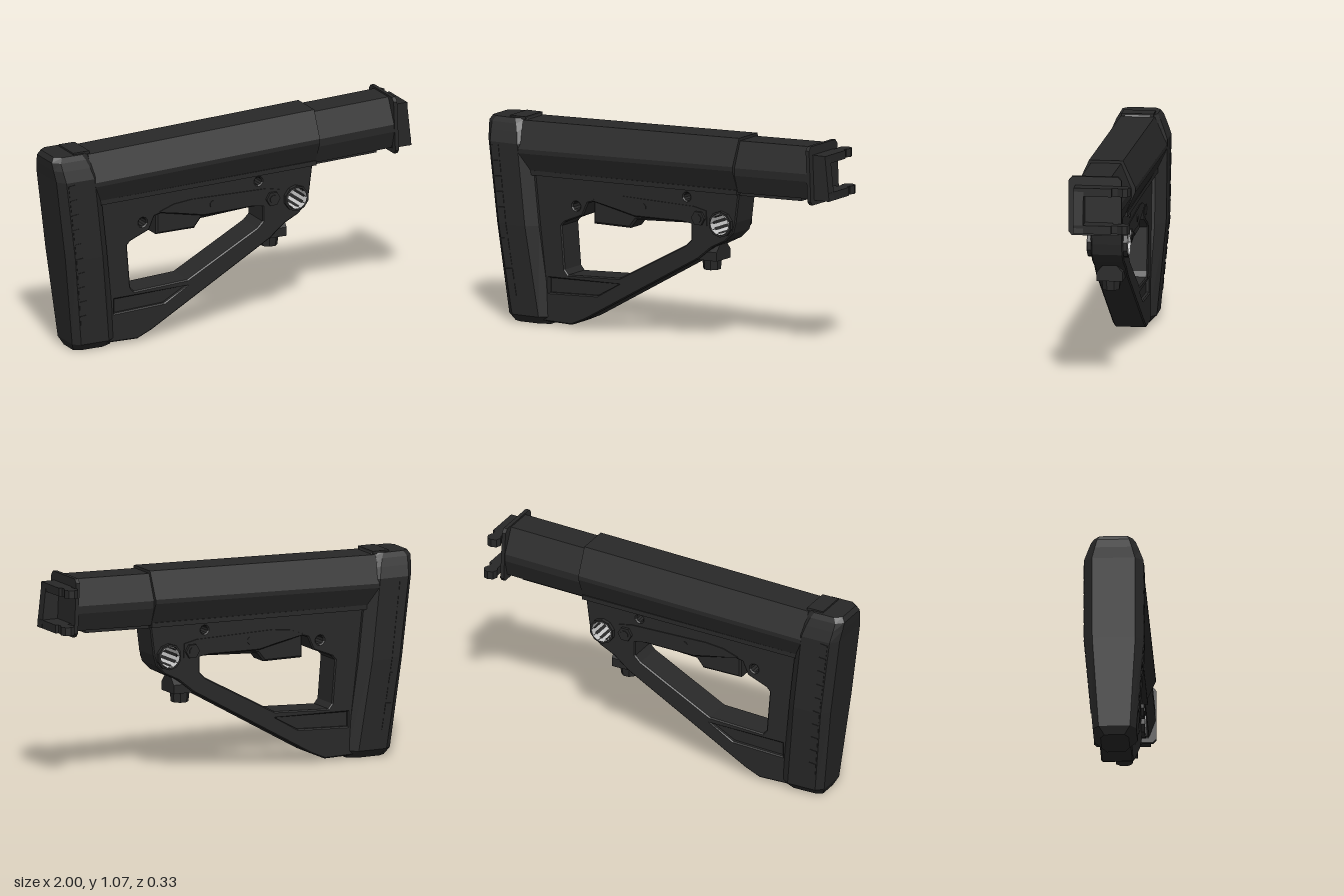
import * as THREE from 'three';

const black = new THREE.MeshStandardMaterial({ color: 0x282828 });
black.name = 'matte black';
const steel = new THREE.MeshStandardMaterial({ color: 0xc8c8c8, side: THREE.DoubleSide });
steel.name = 'bright steel';

// Faceted mesh added to a parent
function add(parent, name, geometry, material = black, x = 0, y = 0, z = 0) {
  const geo = geometry.index ? geometry.toNonIndexed() : geometry;
  geo.computeVertexNormals();
  const mesh = new THREE.Mesh(geo, material);
  mesh.name = name;
  mesh.position.set(x, y, z);
  parent.add(mesh);
  return mesh;
}

// Skin closed rings of [x, y, z] points, with end caps, always facing outwards
function loft(rings) {
  const tris = [];
  const n = rings[0].length;
  for (let r = 0; r < rings.length - 1; r++) {
    for (let i = 0; i < n; i++) {
      const j = (i + 1) % n;
      const [a, b, c, d] = [rings[r][i], rings[r][j], rings[r + 1][j], rings[r + 1][i]];
      tris.push([a, b, c], [a, c, d]);
    }
  }
  const last = rings[rings.length - 1];
  for (let i = 1; i < n - 1; i++) {
    tris.push([rings[0][0], rings[0][i + 1], rings[0][i]], [last[0], last[i], last[i + 1]]);
  }
  let volume = 0;
  const v = (p) => new THREE.Vector3(...p);
  for (const [a, b, c] of tris) volume += v(a).dot(v(b).cross(v(c)));
  if (volume < 0) tris.forEach((t) => t.reverse());
  const geo = new THREE.BufferGeometry();
  geo.setAttribute('position', new THREE.Float32BufferAttribute(tris.flat(2), 3));
  return geo;
}

// Section of half-profile [halfWidth, y] mirrored in z, at a given x
const section = (x, half, dy = 0, lean = 0) => [
  ...half.map(([w, y]) => [x + lean * y, y + dy, w]),
  ...half.slice().reverse().map(([w, y]) => [x + lean * y, y + dy, -w]),
];

const outline = (points) => points.map(([x, y]) => new THREE.Vector2(x, y));

const circlePoints = (x, y, r, n = 10) => Array.from({ length: n }, (_, i) => {
  const a = ((i + 0.5) / n) * Math.PI * 2;
  return [x + r * Math.cos(a), y + r * Math.sin(a)];
});
const circle = (x, y, r) => new THREE.Path(outline(circlePoints(x, y, r)));

// Side outline extruded evenly about z = 0
function slab(points, halfDepth, holes = [], bevel = 0) {
  const shape = new THREE.Shape(outline(points));
  shape.holes = holes;
  const geo = new THREE.ExtrudeGeometry(shape, {
    depth: 2 * (halfDepth - bevel), bevelEnabled: bevel > 0, bevelSize: bevel,
    bevelThickness: bevel, bevelOffset: -bevel, bevelSegments: 1,
  });
  return geo.translate(0, 0, bevel - halfDepth);
}

function cylinderZ(radius, halfDepth, sides, open = false) {
  return new THREE.CylinderGeometry(radius, radius, 2 * halfDepth, sides, 1, open)
    .rotateY(Math.PI / sides).rotateX(Math.PI / 2);
}

export function createModel() {
  const model = new THREE.Group();
  model.name = 'rearStock';
  model.position.z = 0.016;
  const root = new THREE.Group();
  root.add(model);

  // Butt pad: leaning back, tapered towards the toe
  const padRing = ([y, back, front, w]) => {
    const half = [[back, w * 0.72], [back + 0.035, w], [front - 0.05, w], [front, w * 0.65]];
    return [
      ...half.map(([x, z]) => [x, y, z]),
      ...half.slice().reverse().map(([x, z]) => [x, y, -z]),
    ];
  };
  add(model, 'buttPad', loft([
    [0, -0.865, -0.66, 0.07], [0.04, -0.885, -0.645, 0.108], [0.5, -0.938, -0.7, 0.148],
    [0.91, -0.988, -0.745, 0.148], [0.965, -0.996, -0.76, 0.127], [1.005, -1, -0.775, 0.11],
    [1.03, -0.985, -0.79, 0.095],
  ].map(padRing)));
  add(model, 'padTopRidge', new THREE.BoxGeometry(0.09, 0.014, 0.16), black, -0.835, 1.031);

  // Row of grip plates lying on both flanks of the pad
  for (let i = 0; i < 10; i++) {
    const y = 0.865 - i * 0.0775;
    const taper = y > 0.5 ? 0 : 0.087;
    for (const side of [1, -1]) {
      const grip = add(model, 'padGripPlate', new THREE.BoxGeometry(0.038, 0.06, 0.006),
        black, -0.92 + i * 0.0088, y, side * (0.148 - (0.5 - y) * taper));
      grip.rotation.set(side * taper, 0, 0.11);
    }
  }

  // Sleeve over the tube, rising gently to the front
  const sleeve = [[0.085, 0], [0.147, -0.135], [0.147, -0.157], [0.1, -0.265]];
  add(model, 'tubeSleeve', loft([section(-0.8, sleeve, 1.022), section(0.464, sleeve, 1.062)]));
  const ledge = [[0.108, 0.012], [0.108, -0.012]];
  add(model, 'sleeveLedge', loft([section(-0.76, ledge, 0.765), section(0.464, ledge, 0.79)]));

  // Inner tube with its underside rail and flush steel bolts
  const tube = [[0.075, 0], [0.128, -0.13], [0.128, -0.168], [0.095, -0.26]];
  add(model, 'innerTube', loft([section(0.4, tube, 1.046), section(0.9, tube, 1.062)]));
  add(model, 'tubeRail', loft([
    section(0.4, [[0.07, 0.82], [0.07, 0.768]]), section(0.82, [[0.07, 0.83], [0.07, 0.78]]),
  ]));
  for (const [x, y] of [[0.63, 0.778], [0.5, 0.774]]) {
    add(model, 'railBolt', new THREE.CylinderGeometry(0.04, 0.04, 0.016, 8), steel, x, y);
  }

  // End plate
  const plate = [[0.115, 1.07], [0.132, 1.05], [0.132, 0.795], [0.115, 0.775]];
  add(model, 'endPlate', loft([section(0.925, plate, 0, -0.04), section(0.945, plate, 0, -0.04)]));

  // Hinge bracket: one side wall and two arms with rounded knuckles
  const wall = slab([[0.89, 0.8], [1.0, 0.8], [0.975, 1.026], [0.89, 1.026]], 0.025);
  add(model, 'hingeWall', wall, black, 0, 0, 0.074);
  [[0.82, 0.997], [1.005, 0.977]].forEach(([y, end]) => {
    add(model, 'hingeArm', new THREE.BoxGeometry(end - 0.9, 0.042, 0.19), black, (end + 0.9) / 2, y, 0.004);
    add(model, 'hingeNeck', new THREE.BoxGeometry(0.05, 0.042, 0.09), black, end - 0.04, y, -0.125);
    add(model, 'hingeKnuckle', new THREE.CylinderGeometry(0.036, 0.036, 0.042, 8), black, end - 0.038, y, -0.145);
  });

  // Skeleton frame with the large opening, sling holes and side pocket
  const opening = new THREE.Path(outline([
    [-0.578, 0.51], [-0.56, 0.53], [-0.455, 0.573], [-0.425, 0.64], [-0.39, 0.65], [-0.15, 0.6],
    [0.18, 0.605], [0.18, 0.52], [0.15, 0.49], [-0.24, 0.28], [-0.54, 0.265], [-0.56, 0.29],
  ]));
  const pocket = new THREE.Path(outline([[-0.65, 0.24], [-0.24, 0.25], [-0.37, 0.178], [-0.65, 0.165]]));
  add(model, 'frame', slab([
    [-0.78, 0.8], [-0.78, 0.02], [-0.52, 0.015], [-0.44, 0.05], [0.22, 0.425], [0.3, 0.49],
    [0.38, 0.53], [0.425, 0.575], [0.44, 0.63], [0.462, 0.8],
  ], 0.08, [opening, pocket, circle(-0.492, 0.618, 0.022), circle(0.155, 0.733, 0.02), circle(0.36, 0.618, 0.054)], 0.006));
  add(model, 'pocketWeb', slab([[-0.68, 0.255], [-0.2, 0.262], [-0.36, 0.165], [-0.68, 0.155]], 0.06));

  // Latch housing hanging into the opening
  add(model, 'latchHousing', slab([
    [-0.405, 0.67], [-0.405, 0.535], [-0.19, 0.535], [-0.155, 0.58], [0.19, 0.6], [0.19, 0.67],
  ], 0.06, [], 0.01));

  // Raised side panel on both faces, with pivot screws
  add(model, 'sidePanel', slab([
    [-0.4, 0.66], [-0.32, 0.688], [-0.22, 0.698], [0.2, 0.69], [0.27, 0.675], [0.275, 0.6],
    [0.2, 0.6], [0.1, 0.615], [-0.15, 0.61], [-0.39, 0.655],
  ], 0.085));
  add(model, 'hexBoss', cylinderZ(0.038, 0.1, 6), black, 0.23, 0.635);
  add(model, 'hexBossScrew', cylinderZ(0.022, 0.105, 8), black, 0.23, 0.635);
  add(model, 'panelScrew', cylinderZ(0.02, 0.088, 8), black, -0.1, 0.655);

  // Sling socket: steel sleeve inside a raised collar, open right through
  add(model, 'slingSocketCollar', slab(circlePoints(0.36, 0.618, 0.066), 0.1, [circle(0.36, 0.618, 0.056)]));
  add(model, 'slingSocketSleeve', cylinderZ(0.054, 0.104, 10, true), steel, 0.36, 0.618);

  // Adjustment knob under the front of the strut
  const knob = [[0.03, 0.505], [0.065, 0.465], [0.065, 0.42]];
  add(model, 'knobMount', loft([section(0.2, knob), section(0.32, knob)]));
  add(model, 'knob', new THREE.CylinderGeometry(0.052, 0.044, 0.075, 8).rotateY(Math.PI / 8), black, 0.253, 0.405);

  return root;
}
